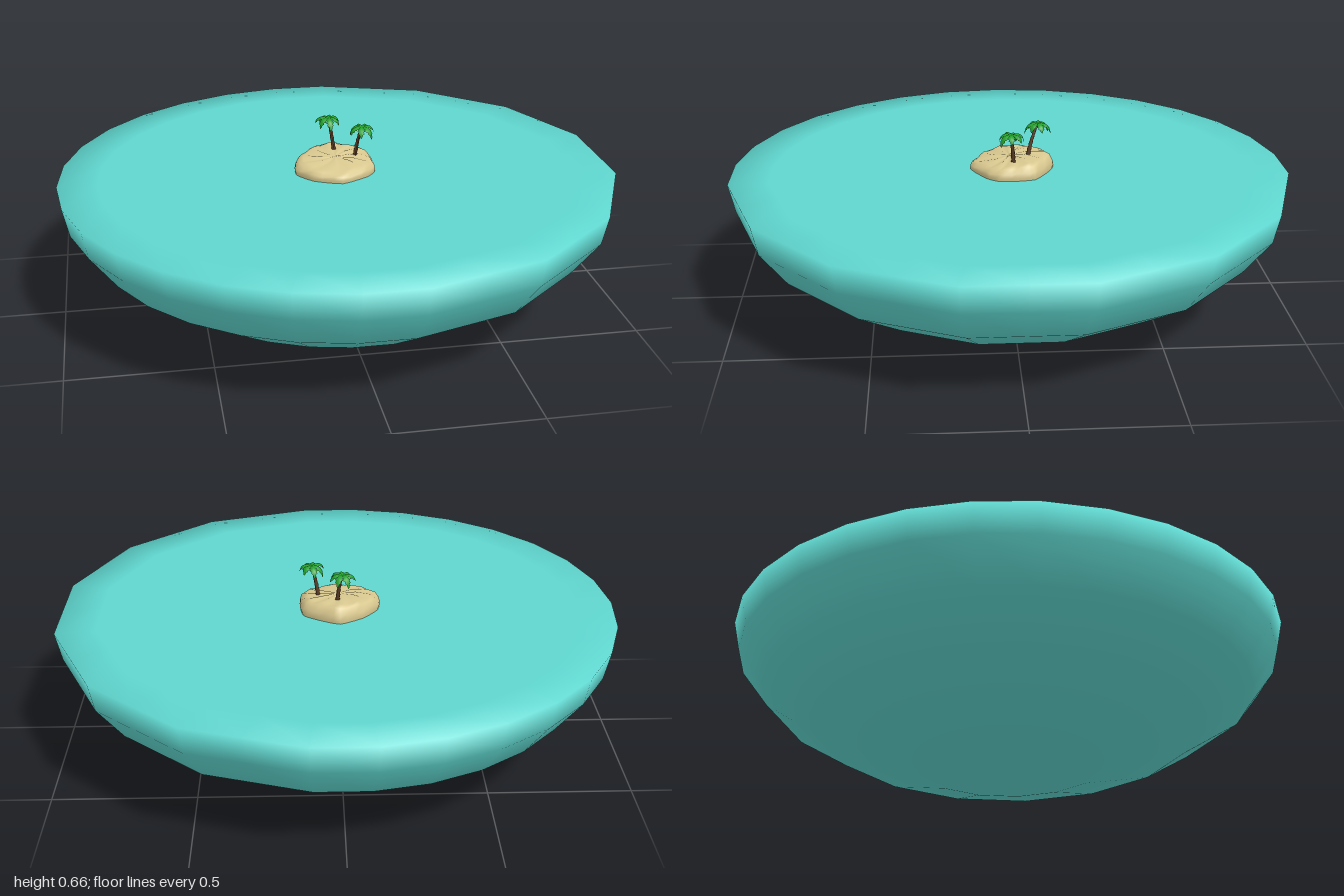
import * as THREE from 'three';

const material = (color, side = THREE.FrontSide) =>
  new THREE.MeshStandardMaterial({ color, side });
const WATER_Y = 0.49;

function addMesh(parent, name, geometry, mat) {
  const mesh = new THREE.Mesh(geometry, mat);
  mesh.name = name;
  parent.add(mesh);
  return mesh;
}

// Half-sphere of water, squashed, with a flat top and a softly shaded rim
function waterGeometry() {
  const R = 1.0055;
  const profile = [0, 21, 42, 62, 78, 90].map((deg) => {
    const a = THREE.MathUtils.degToRad(deg);
    return new THREE.Vector2(R * Math.sin(a), WATER_Y * (1 - Math.cos(a)));
  });
  profile.push(new THREE.Vector2(0.86, WATER_Y), new THREE.Vector2(0.5, WATER_Y), new THREE.Vector2(0, WATER_Y));
  const geo = new THREE.LatheGeometry(profile, 30, THREE.MathUtils.degToRad(78));
  const p = geo.attributes.position;
  // the +x half has long straight facets: odd columns are pulled onto the chord
  for (let i = 0; i < p.count; i++) {
    const column = Math.floor(i / profile.length);
    const pull = column % 2 && p.getX(i) > -0.001 ? Math.cos(Math.PI / 15) : 1;
    p.setXYZ(i, p.getX(i) * pull + 0.011, p.getY(i), p.getZ(i) * pull);
  }
  return geo;
}

// Sand mound: one irregular outline repeated at several heights, top rising to the back
function islandGeometry() {
  const corners = [
    [0, -0.16], [0.075, -0.125], [0.13, -0.085], [0.142, -0.02], [0.14, 0.045], [0.105, 0.09],
    [0.005, 0.143], [-0.095, 0.1], [-0.147, 0.03], [-0.14, -0.04], [-0.085, -0.11],
  ].map(([x, z]) => new THREE.Vector3(x, 0, z));
  const outline = new THREE.CatmullRomCurve3(corners, true, 'catmullrom', 0.25);
  const n = 33;
  const rings = [[0.97, 0.48, 0], [1, 0.5, 0], [0.98, 0.515, 0.03], [0.9, 0.531, 0.09], [0.78, 0.537, 0.1], [0.4, 0.541, 0.1], [0, 0.541, 0.1]];
  const positions = [], index = [];
  rings.forEach(([s, y, tilt], r) => {
    for (let i = 0; i < n; i++) {
      const c = outline.getPoint(i / n);
      const bump = r > 1 && r < 6 ? 0.003 * Math.sin(i * 1.9 + r * 2) : 0;
      positions.push(c.x * s, y - c.z * s * tilt + bump, c.z * s);
      if (r === 0) continue;
      const j = (i + 1) % n, a = (r - 1) * n, b = r * n;
      index.push(a + i, b + i, a + j, a + j, b + i, b + j);
    }
  });
  const geo = new THREE.BufferGeometry();
  geo.setAttribute('position', new THREE.Float32BufferAttribute(positions, 3));
  geo.setIndex(index);
  geo.computeVertexNormals();
  return geo;
}

// Folded, drooping palm leaf with a ragged edge, growing along +x
function frondGeometry(length, droop) {
  const steps = 10;
  const geo = new THREE.PlaneGeometry(1, 2, steps, 2);
  const p = geo.attributes.position;
  for (let i = 0; i < p.count; i++) {
    const t = p.getX(i) + 0.5, side = p.getY(i);
    const ragged = Math.round(t * steps) % 2 ? 1 : 0.7;
    const half = 0.0145 * Math.sin(Math.PI * (0.1 + 0.88 * t)) * ragged;
    const y = 0.03 * t - (0.03 + droop) * t * t - Math.abs(side) * half * 0.6;
    p.setXYZ(i, length * Math.sin(t * 1.45), y, -side * half);
  }
  geo.computeVertexNormals();
  return geo;
}

function palm(name, base, top, turn) {
  const group = new THREE.Group();
  group.name = name;
  const bark = material(0x5a3b22), leaf = material(0x22a02c, THREE.DoubleSide);

  // Trunk: tapered cylinder bent along a curve, with slight bark rings
  const mid = base.clone().lerp(top, 0.5);
  mid.x += (base.x - top.x) * 0.25;
  mid.z += (base.z - top.z) * 0.25;
  const path = new THREE.QuadraticBezierCurve3(base, mid, top);
  const trunk = new THREE.CylinderGeometry(0.0045, 0.008, 1, 8, 12);
  const p = trunk.attributes.position;
  for (let i = 0; i < p.count; i++) {
    const t = p.getY(i) + 0.5, c = path.getPoint(t);
    const ring = Math.round(t * 12) % 2 ? 1.12 : 0.9;
    p.setXYZ(i, c.x + p.getX(i) * ring, c.y, c.z + p.getZ(i) * ring);
  }
  trunk.computeVertexNormals();
  addMesh(group, 'trunk', trunk, bark);

  // Crown of drooping leaves
  const crown = new THREE.Group();
  crown.name = 'crown';
  crown.position.copy(top);
  for (let i = 0; i < 7; i++) {
    const frond = addMesh(crown, 'frond', frondGeometry(0.044 + 0.004 * (i % 2), 0.024 + 0.007 * (i % 3)), leaf);
    frond.rotation.y = turn + (i / 7) * Math.PI * 2;
  }
  group.add(crown);
  return group;
}

export function createModel() {
  const model = new THREE.Group();
  model.name = 'tropicalIsland';
  addMesh(model, 'water', waterGeometry(), material(0x5fd6ce));
  addMesh(model, 'sandIsland', islandGeometry(), material(0xd9c88f));
  const v = (x, y, z) => new THREE.Vector3(x, y, z);
  model.add(palm('backPalm', v(0.008, 0.535, -0.066), v(-0.008, 0.656, -0.102), 0.3));
  model.add(palm('sidePalm', v(0.075, 0.53, -0.01), v(0.098, 0.65, 0), 0.9));
  return model;
}
